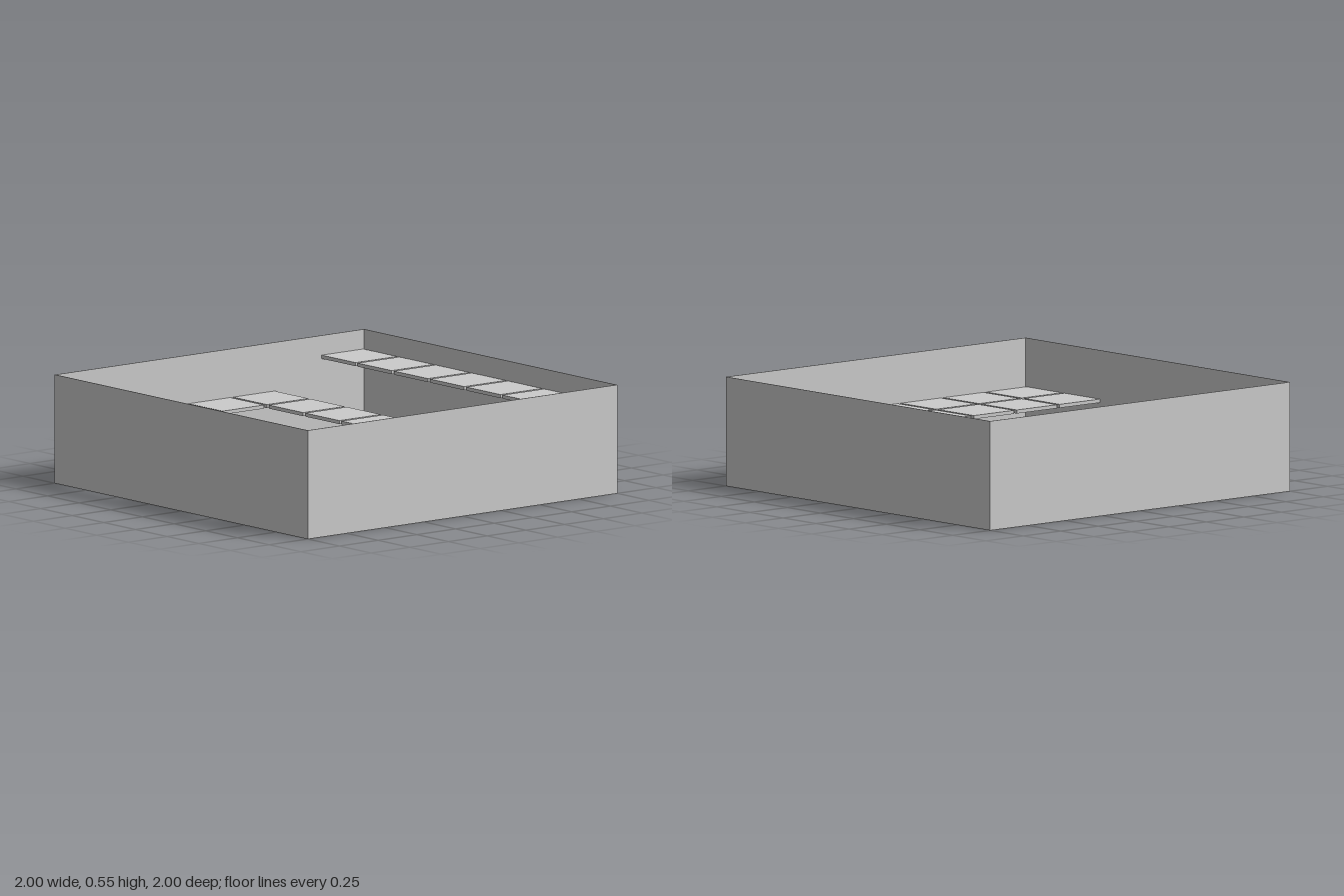
import * as THREE from 'three';

export function createModel() {
  const model = new THREE.Group();
  const material = new THREE.MeshStandardMaterial({ color: 0xcccccc, flatShading: true });

  const addBox = (parent, name, size, position) => {
    const mesh = new THREE.Mesh(new THREE.BoxGeometry(...size), material);
    mesh.name = name;
    mesh.position.set(...position);
    parent.add(mesh);
  };

  // Four thin walls, open above and below
  const height = 0.552, thin = 0.005;
  const walls = new THREE.Group();
  walls.name = 'walls';
  model.add(walls);
  for (const side of [-1, 1]) {
    const offset = side * (1 - thin / 2);
    addBox(walls, side > 0 ? 'frontWall' : 'backWall', [2, height, thin], [0, height / 2, offset]);
    addBox(walls, side > 0 ? 'leftWall' : 'rightWall',
      [thin, height, 2 - 2 * thin], [offset, height / 2, 0]);
  }

  // Floating tiles on a 7 x 7 grid, back row first: L low, M middle, H high
  const levels = { L: 0.135, M: 0.296, H: 0.443 };
  const layout = [
    '.MMMM.H',
    '....M.H',
    'LLL.M.H',
    'LLL.M.H',
    '....M.H',
    'MMMMM.H',
    'MMMMM.H',
  ];
  const pitch = 0.2862, tile = 0.269, thickness = 0.018, first = -0.862;
  const tiles = new THREE.Group();
  tiles.name = 'tiles';
  model.add(tiles);
  layout.forEach((row, j) => [...row].forEach((level, i) => {
    if (level === '.') return;
    addBox(tiles, 'floorTile', [tile, thickness, tile],
      [first + i * pitch, levels[level], first + j * pitch]);
  }));

  return model;
}
